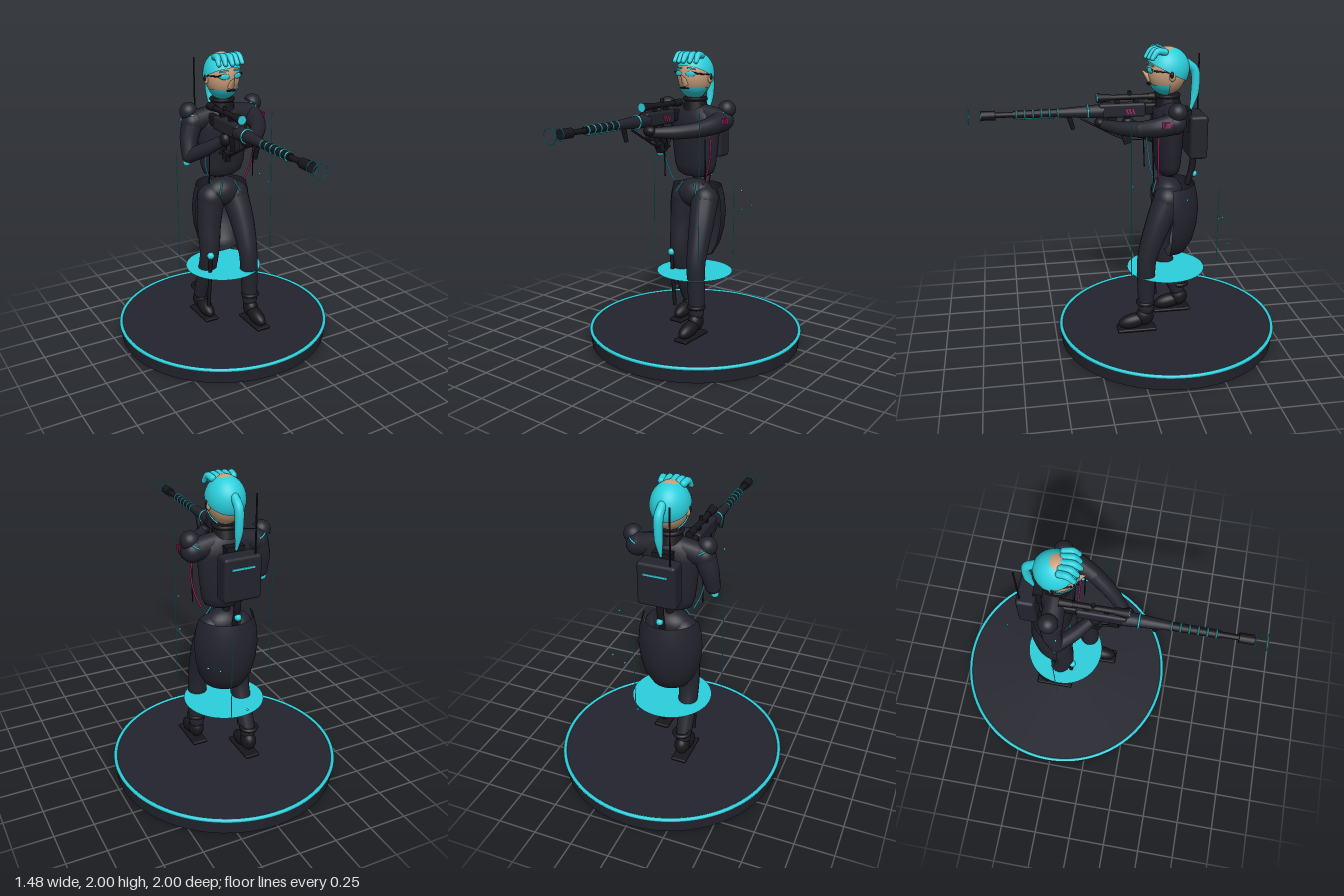
import * as THREE from 'three';
import { RoundedBoxGeometry } from 'three/addons/geometries/RoundedBoxGeometry.js';

const mat = (name, color, side = THREE.FrontSide) => {
  const m = new THREE.MeshStandardMaterial({ color, side });
  m.name = name;
  return m;
};

export function createModel() {
  const suit = mat('suit dark', 0x23232e, THREE.DoubleSide);
  const black = mat('gear black', 0x16161c);
  const teal = mat('bright teal', 0x2bcfdc, THREE.DoubleSide);
  const skin = mat('skin', 0xc99f7c);
  const pink = mat('magenta', 0xb8206f);

  const root = new THREE.Group();
  root.name = 'figure';
  const V = (a) => new THREE.Vector3(...a);

  function group(name) {
    const g = new THREE.Group();
    g.name = name;
    root.add(g);
    return g;
  }
  function add(g, name, geo, material, pos = [0, 0, 0], rot = [0, 0, 0], scale = [1, 1, 1]) {
    const m = new THREE.Mesh(geo, material);
    m.name = name;
    m.position.set(...pos);
    m.rotation.set(...rot);
    m.scale.set(...scale);
    g.add(m);
    return m;
  }
  const ball = (g, name, material, pos, s, rot) =>
    add(g, name, new THREE.SphereGeometry(1, 24, 16), material, pos, rot, Array.isArray(s) ? s : [s, s, s]);
  const box = (g, name, material, pos, size, rot) =>
    add(g, name, new THREE.BoxGeometry(...size), material, pos, rot);
  // straight round bar between two points
  function rod(g, name, material, a, b, ra, rb = ra) {
    const p = V(a), q = V(b);
    const m = add(g, name, new THREE.CylinderGeometry(rb, ra, p.distanceTo(q), 16), material);
    m.position.copy(p).lerp(q, 0.5);
    m.quaternion.setFromUnitVectors(new THREE.Vector3(0, 1, 0), q.sub(p).normalize());
    return m;
  }
  // curved tube whose radius follows a list, with rounded ends
  function limb(g, name, material, pts, radii, n = 28) {
    const curve = new THREE.CatmullRomCurve3(pts.map(V));
    const geo = new THREE.TubeGeometry(curve, n, 1, 16);
    const pos = geo.attributes.position, v = new THREE.Vector3();
    for (let i = 0; i <= n; i++) {
      const c = curve.getPointAt(i / n);
      const t = curve.getUtoTmapping(i / n) * (radii.length - 1);
      const k = Math.min(Math.floor(t), radii.length - 2);
      const r = THREE.MathUtils.lerp(radii[k], radii[k + 1], t - k);
      for (let j = 0; j <= 16; j++) {
        const id = i * 17 + j;
        v.fromBufferAttribute(pos, id).sub(c).multiplyScalar(r).add(c);
        pos.setXYZ(id, v.x, v.y, v.z);
      }
    }
    add(g, name, geo, material);
    ball(g, name + 'Start', material, pts[0], radii[0]);
    ball(g, name + 'End', material, pts[pts.length - 1], radii[radii.length - 1]);
  }
  const lathe = (pts, seg = 40, a = 0, len = Math.PI * 2) =>
    new THREE.LatheGeometry(pts.map((p) => new THREE.Vector2(...p)), seg, a, len);

  // Display base
  const base = group('base');
  add(base, 'baseDisc', new THREE.CylinderGeometry(0.735, 0.725, 0.1, 80), suit, [0, 0.05, -0.26]);
  add(base, 'baseRim', new THREE.TorusGeometry(0.728, 0.012, 10, 96), teal, [0, 0.098, -0.26], [Math.PI / 2, 0, 0]);

  // Hovering light disc, beams and sparks
  const glow = group('lightEffects');
  add(glow, 'lightDisc', new THREE.CircleGeometry(0.26, 48), teal, [0, 0.505, -0.25], [-Math.PI / 2, 0, 0]);
  for (const [x, z, top] of [[-0.34, -0.24, 1.37], [0.215, 0.02, 1.63], [0.11, -0.575, 1.09]])
    rod(glow, 'lightBeam', teal, [x, 0.56, z], [x, top, z], 0.0025);
  for (const p of [[0.33, 1.1, -0.31], [0.26, 0.94, -0.56], [0.05, 0.66, -0.67], [0.2, 1.16, 0.01], [-0.32, 1.6, -0.2], [0.18, 0.9, -0.56]])
    ball(glow, 'spark', teal, p, 0.007);

  // Legs, cuffs and boots
  const legs = group('legs');
  ball(legs, 'pelvis', suit, [0, 1.055, -0.25], [0.135, 0.1, 0.1]);
  limb(legs, 'leftLeg', suit,
    [[0.085, 1.02, -0.24], [0.105, 0.85, -0.17], [0.115, 0.62, -0.1], [0.12, 0.45, -0.095], [0.125, 0.27, -0.095]],
    [0.095, 0.083, 0.064, 0.06, 0.052]);
  limb(legs, 'rightLeg', suit,
    [[-0.085, 1.02, -0.255], [-0.105, 0.85, -0.25], [-0.115, 0.62, -0.235], [-0.12, 0.45, -0.285], [-0.125, 0.27, -0.36]],
    [0.095, 0.083, 0.066, 0.06, 0.05]);
  for (const [x, z] of [[0.125, -0.09], [-0.122, -0.38]]) {
    add(legs, 'cuff', new THREE.TorusGeometry(0.05, 0.014, 8, 28), black, [x, 0.31, z], [Math.PI / 2, 0, 0]);
    ball(legs, 'bootAnkle', black, [x, 0.205, z + 0.005], [0.05, 0.065, 0.062]);
    ball(legs, 'bootToe', black, [x, 0.175, z + 0.08], [0.048, 0.05, 0.105], [0.2, 0, 0]);
    add(legs, 'sole', new RoundedBoxGeometry(0.1, 0.02, 0.26, 2, 0.008), black, [x, 0.12, z + 0.06]);
  }
  ball(legs, 'kneeLight', teal, [-0.14, 0.63, -0.17], 0.025);
  rod(legs, 'legStrut', black, [-0.14, 0.62, -0.17], [-0.14, 0.23, -0.21], 0.013);
  for (const s of [-1, 1])
    rod(legs, 'hipStripe', teal, [s * 0.045, 1.145, -0.17], [s * 0.078, 1.07, -0.142], 0.005);

  // Coat tail, an open half shell behind the hips
  const tail = lathe([[0.18, 1.11], [0.2, 1.03], [0.21, 0.93], [0.2, 0.82], [0.175, 0.72], [0.13, 0.64], [0.06, 0.61], [0.0, 0.608]], 40, Math.PI / 2, Math.PI);
  add(group('coat'), 'coatTail', tail, suit, [0, 0, -0.25]);

  // Torso and collar
  const torso = group('torso');
  add(torso, 'chest', lathe([[0, 1.17], [0.09, 1.175], [0.135, 1.2], [0.155, 1.25], [0.168, 1.35], [0.178, 1.45], [0.185, 1.53], [0.175, 1.59], [0.13, 1.63], [0.07, 1.655], [0, 1.66]]), suit, [0, 0, -0.25], [0, 0, 0], [1, 1, 0.53]);
  limb(torso, 'yoke', suit, [[-0.2, 1.565, -0.25], [0, 1.6, -0.25], [0.2, 1.565, -0.25]], [0.07, 0.06, 0.07]);
  rod(torso, 'collar', black, [0, 1.62, -0.25], [0, 1.7, -0.245], 0.085, 0.068);
  add(torso, 'collarRing', new THREE.TorusGeometry(0.07, 0.013, 8, 32), black, [0, 1.69, -0.245], [Math.PI / 2, 0, 0]);
  rod(torso, 'spine', black, [0, 1.1, -0.27], [0, 1.2, -0.27], 0.025);
  limb(torso, 'leftCable', pink, [[0.165, 1.52, -0.16], [0.185, 1.38, -0.155], [0.165, 1.25, -0.16], [0.12, 1.14, -0.165]], [0.006, 0.006, 0.006, 0.006]);
  limb(torso, 'rightCable', teal, [[-0.16, 1.45, -0.15], [-0.18, 1.33, -0.15], [-0.16, 1.23, -0.16], [-0.12, 1.14, -0.17]], [0.005, 0.005, 0.005, 0.005]);
  for (const s of [-1, 1]) rod(torso, 'strap', black, [s * 0.163, 1.17, -0.13], [s * 0.163, 1.45, -0.12], 0.004);

  // Arms and shoulder guards
  const arms = group('arms');
  limb(arms, 'rightUpperArm', suit, [[-0.215, 1.56, -0.25], [-0.245, 1.46, -0.245], [-0.26, 1.35, -0.22]], [0.07, 0.06, 0.047]);
  limb(arms, 'rightForearm', suit, [[-0.26, 1.35, -0.22], [-0.19, 1.41, -0.12], [-0.115, 1.48, -0.03]], [0.047, 0.045, 0.034]);
  ball(arms, 'rightHand', black, [-0.11, 1.49, -0.01], [0.035, 0.045, 0.04]);
  ball(arms, 'elbowLight', teal, [-0.275, 1.305, -0.225], 0.024);
  limb(arms, 'leftUpperArm', suit, [[0.215, 1.56, -0.25], [0.2, 1.535, -0.15], [0.155, 1.515, -0.05]], [0.07, 0.06, 0.05]);
  limb(arms, 'leftForearm', suit, [[0.155, 1.515, -0.05], [0.07, 1.505, 0.06], [-0.03, 1.505, 0.155]], [0.05, 0.045, 0.033]);
  ball(arms, 'leftHand', black, [-0.055, 1.515, 0.175], [0.045, 0.033, 0.04]);
  for (const s of [-1, 1]) {
    add(arms, 'shoulderGuard', new THREE.SphereGeometry(0.06, 24, 10, 0, Math.PI * 2, 0, Math.PI / 2), suit, [s * 0.235, 1.63, -0.26], [0, 0, -s * 0.6]);
    add(arms, 'shoulderTrim', new THREE.TorusGeometry(0.052, 0.006, 6, 24), teal, [s * 0.215, 1.6, -0.26], [Math.PI / 2, s * 0.6, 0]);
  }
  for (let i = 0; i < 3; i++) box(arms, 'sleeveMark', pink, [0.272, 1.565, -0.2 + i * 0.018], [0.01, 0.035, 0.01]);

  // Head, hair, beard and glasses
  const head = group('head');
  const hc = [0, 1.845, -0.24];
  ball(head, 'face', skin, hc, [0.11, 0.15, 0.125]);
  add(head, 'nose', new THREE.ConeGeometry(0.026, 0.09, 12), skin, [0, 1.825, -0.105], [0.75, 0, 0]);
  add(head, 'hairCap', new THREE.SphereGeometry(1, 32, 16, 0, Math.PI * 2, 0, Math.PI / 2), teal, hc, [-0.48, 0, 0], [0.122, 0.148, 0.138]);
  add(head, 'beard', new THREE.SphereGeometry(1, 28, 10, 0, Math.PI, Math.PI * 0.66, Math.PI * 0.34), teal, hc, [0, 0, 0], [0.117, 0.157, 0.133]);
  box(head, 'mouth', black, [0, 1.765, -0.125], [0.055, 0.009, 0.02]);
  for (let i = -2; i <= 2; i++) {
    const x = i * 0.038;
    const z = Math.abs(i) * 0.012;
    limb(head, 'fringeLock', teal, [[x * 0.9, 1.97, -0.21], [x, 1.975, -0.14 - z], [x * 1.1, 1.935, -0.105 - z]], [0.022, 0.022, 0.015], 10);
  }
  limb(head, 'ponytail', teal, [[0, 1.89, -0.365], [0, 1.84, -0.415], [0, 1.7, -0.42], [0, 1.585, -0.395]], [0.026, 0.029, 0.026, 0.008]);
  for (const s of [-1, 1]) {
    ball(head, 'lens', teal, [s * 0.047, 1.857, -0.122], [0.034, 0.018, 0.006], [0, s * 0.35, 0]);
    box(head, 'eyebrow', teal, [s * 0.048, 1.89, -0.128], [0.055, 0.01, 0.01], [0, s * 0.35, -s * 0.15]);
    rod(head, 'glassesArm', black, [s * 0.083, 1.858, -0.14], [s * 0.114, 1.85, -0.25], 0.005);
    ball(head, 'ear', skin, [s * 0.112, 1.825, -0.25], [0.014, 0.03, 0.02]);
    ball(head, 'earpiece', black, [s * 0.12, 1.835, -0.245], [0.01, 0.022, 0.012]);
  }
  rod(head, 'glassesBridge', black, [-0.085, 1.866, -0.13], [0.085, 1.866, -0.13], 0.004);

  // Backpack with antenna and hose
  const pack = group('backpack');
  add(pack, 'packBody', new RoundedBoxGeometry(0.245, 0.28, 0.115, 3, 0.02), suit, [-0.003, 1.43, -0.43]);
  box(pack, 'packStripe', teal, [0, 1.5, -0.489], [0.15, 0.012, 0.006]);
  box(pack, 'packMount', black, [0, 1.53, -0.36], [0.12, 0.14, 0.06]);
  rod(pack, 'antenna', black, [-0.088, 1.56, -0.465], [-0.088, 1.93, -0.465], 0.005);
  limb(pack, 'hose', black, [[0, 1.31, -0.425], [0, 1.2, -0.415], [0, 1.1, -0.39]], [0.022, 0.022, 0.02]);
  ball(pack, 'hoseLight', teal, [0, 1.16, -0.43], 0.022);

  // Rifle, pointing forward
  const gun = group('rifle');
  const gx = -0.105;
  const bar = (name, m, y, z0, z1, r0, r1) => rod(gun, name, m, [gx, y, z0], [gx, y, z1], r0, r1);
  bar('muzzle', black, 1.575, 0.83, 0.92, 0.03, 0.03);
  bar('barrelTip', black, 1.575, 0.71, 0.84, 0.017, 0.017);
  bar('barrelSleeve', black, 1.575, 0.42, 0.72, 0.027, 0.024);
  bar('handguard', suit, 1.575, 0.15, 0.44, 0.047, 0.027);
  add(gun, 'receiver', new RoundedBoxGeometry(0.07, 0.09, 0.3, 2, 0.015), suit, [gx, 1.58, 0.03]);
  add(gun, 'stock', new RoundedBoxGeometry(0.045, 0.075, 0.13, 2, 0.015), black, [gx, 1.58, -0.15]);
  for (let i = 0; i < 6; i++)
    add(gun, 'coolingRing', new THREE.TorusGeometry(0.026, 0.005, 8, 24), teal, [gx, 1.575, 0.44 + i * 0.052]);
  add(gun, 'handguardRing', new THREE.TorusGeometry(0.042, 0.006, 8, 24), teal, [gx, 1.575, 0.25]);
  rod(gun, 'underLine', teal, [gx, 1.545, 0.3], [gx, 1.547, 0.7], 0.004);
  add(gun, 'muzzleRing', new THREE.TorusGeometry(0.037, 0.003, 6, 32), teal, [gx, 1.575, 0.925]);
  add(gun, 'flashRing', new THREE.TorusGeometry(0.047, 0.003, 6, 32), teal, [gx, 1.575, 0.997]);
  for (let i = 0; i < 3; i++) box(gun, 'vent', pink, [gx + 0.037, 1.575, 0.0 - i * 0.02], [0.006, 0.04, 0.009], [0.4, 0, 0]);

  // Scope, grips and brace
  bar('scopeTube', black, 1.66, -0.2, 0.13, 0.018, 0.018);
  bar('scopeFront', black, 1.66, 0.1, 0.19, 0.022, 0.03);
  bar('scopeRear', black, 1.66, -0.22, -0.14, 0.026, 0.022);
  bar('scopeLens', teal, 1.66, 0.188, 0.194, 0.029, 0.029);
  for (const z of [0.06, -0.06]) box(gun, 'scopeMount', black, [gx, 1.635, z], [0.025, 0.05, 0.03]);
  rod(gun, 'scopeKnob', black, [gx, 1.67, -0.02], [gx, 1.7, -0.02], 0.012);
  rod(gun, 'foregrip', black, [gx, 1.55, 0.37], [gx, 1.465, 0.345], 0.017, 0.013);
  rod(gun, 'pistolGrip', black, [gx, 1.55, 0.0], [gx, 1.41, -0.04], 0.02);
  limb(gun, 'brace', black, [[gx, 1.53, 0.29], [gx, 1.46, 0.16], [gx, 1.39, 0.02], [gx, 1.38, -0.1]], [0.007, 0.007, 0.007, 0.007]);
  box(gun, 'braceClip', black, [gx, 1.385, 0.0], [0.035, 0.06, 0.05], [0.3, 0, 0]);
  box(gun, 'magazine', black, [gx, 1.49, 0.1], [0.035, 0.1, 0.06], [-0.15, 0, 0]);

  return root;
}
